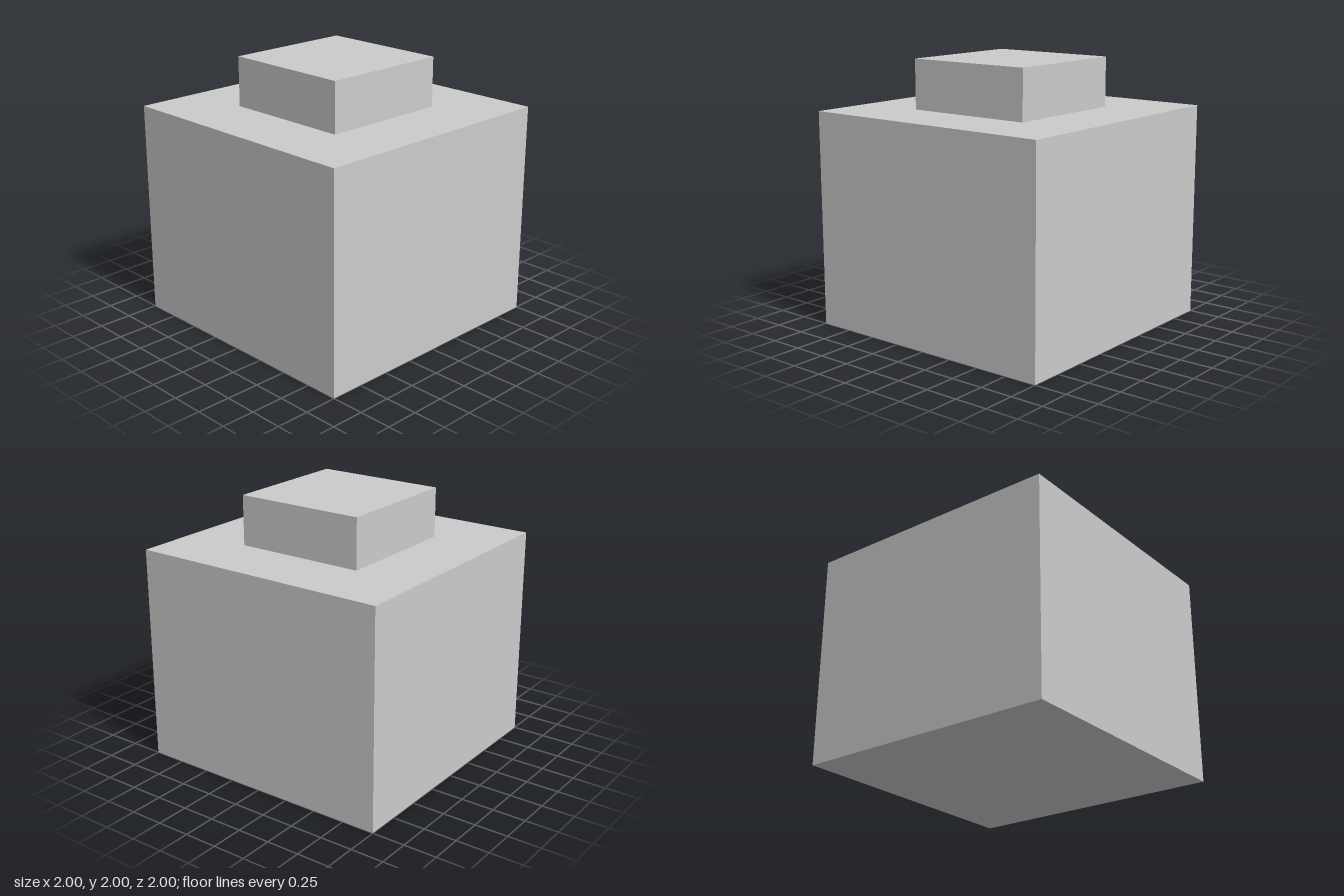
import * as THREE from 'three';

const BODY_HEIGHT = 1.625;
const TOTAL_HEIGHT = 2;

export function createModel() {
  const group = new THREE.Group();
  const material = new THREE.MeshStandardMaterial({ color: 0xcccccc, flatShading: true });

  // Square block standing on the given base height
  const addBlock = (name, width, bottom, top) => {
    const mesh = new THREE.Mesh(new THREE.BoxGeometry(width, top - bottom, width), material);
    mesh.name = name;
    mesh.position.y = (bottom + top) / 2;
    group.add(mesh);
  };

  addBlock('body', 2, 0, BODY_HEIGHT);
  addBlock('cap', 1, BODY_HEIGHT, TOTAL_HEIGHT);

  return group;
}
